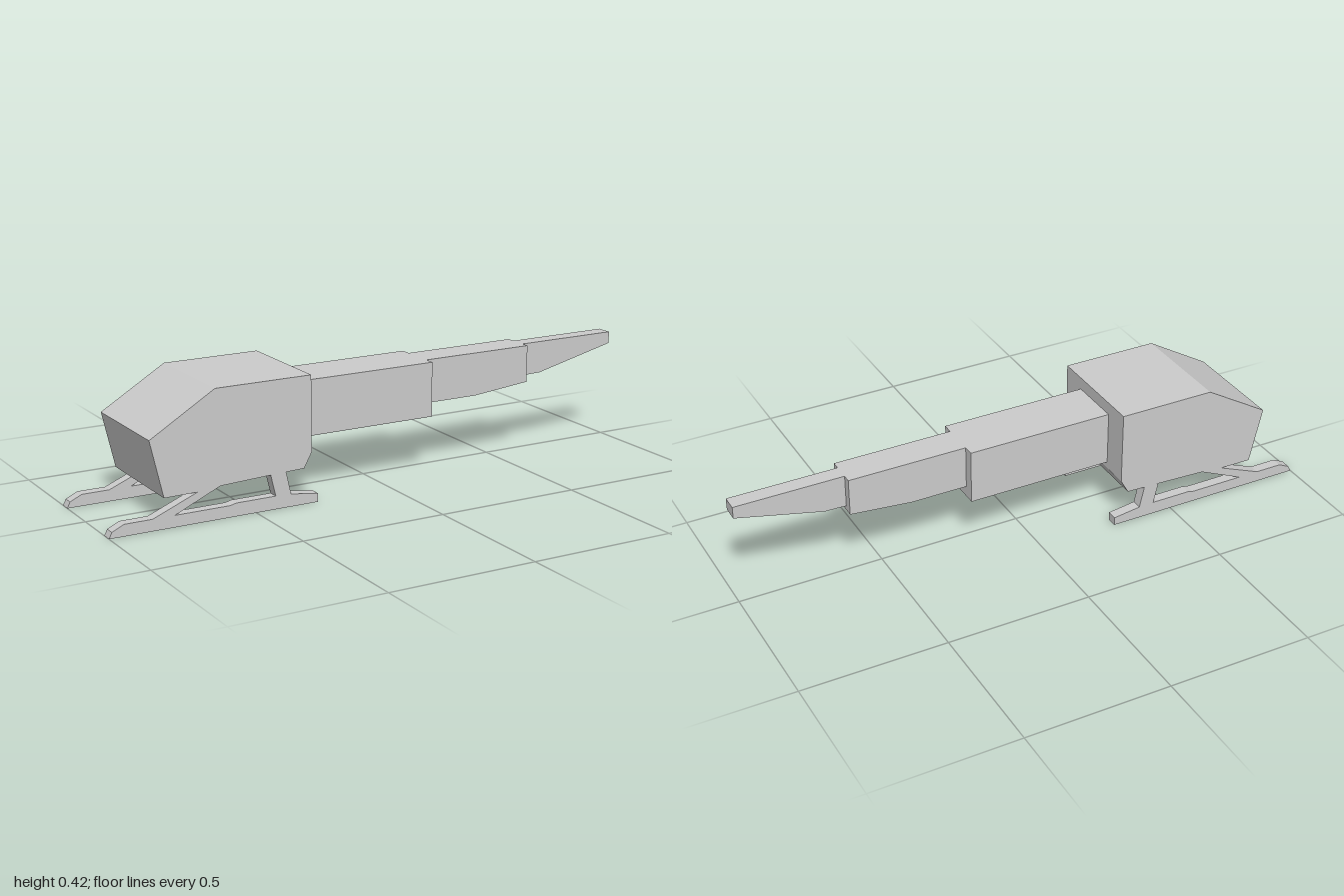
import * as THREE from 'three';

const material = new THREE.MeshStandardMaterial({ color: 0xcccccc, flatShading: true });

// Extrude a side profile (x, y) between two z positions
function slab(name, points, zMin, zMax) {
  const shape = new THREE.Shape(points.map(([x, y]) => new THREE.Vector2(x, y)));
  const geometry = new THREE.ExtrudeGeometry(shape, { depth: zMax - zMin, bevelEnabled: false });
  geometry.translate(0, 0, zMin);
  const mesh = new THREE.Mesh(geometry, material);
  mesh.name = name;
  return mesh;
}

export function createModel() {
  const model = new THREE.Group();
  model.name = 'helicopter';

  // Cabin with sloped windscreen and chamfered rear edge
  model.add(slab('cabin', [
    [-0.815, 0.1], [-0.66, 0.102], [-0.62, 0.109], [-0.45, 0.116], [-0.327, 0.12],
    [-0.299, 0.17], [-0.299, 0.424], [-0.635, 0.424], [-0.859, 0.29],
  ], -0.189, 0.189));

  // Tail boom in three sections, each narrower than the last
  model.add(slab('tailBoomFront', [
    [-0.299, 0.193], [0.213, 0.193], [0.213, 0.381], [-0.299, 0.381],
  ], -0.094, 0.094));
  model.add(slab('tailBoomMiddle', [
    [0.213, 0.231], [0.41, 0.231], [0.625, 0.252], [0.625, 0.381], [0.213, 0.381],
  ], -0.057, 0.057));
  model.add(slab('tailBoomTip', [
    [0.625, 0.268], [0.7, 0.27], [1, 0.34], [1, 0.381], [0.625, 0.381],
  ], -0.028, 0.028));

  // Landing skids: runner, slanted front strut and rear strut in one profile
  const skid = [
    [-1, 0], [-0.278, 0], [-0.278, 0.029], [-0.375, 0.042], [-0.392, 0.118],
    [-0.447, 0.116], [-0.43, 0.044], [-0.57, 0.044], [-0.59, 0.039], [-0.78, 0.039],
    [-0.625, 0.108], [-0.7, 0.102], [-0.855, 0.039], [-0.95, 0.039], [-0.99, 0.02],
  ];
  model.add(slab('leftSkid', skid, 0.152, 0.189));
  model.add(slab('rightSkid', skid, -0.189, -0.152));

  return model;
}
